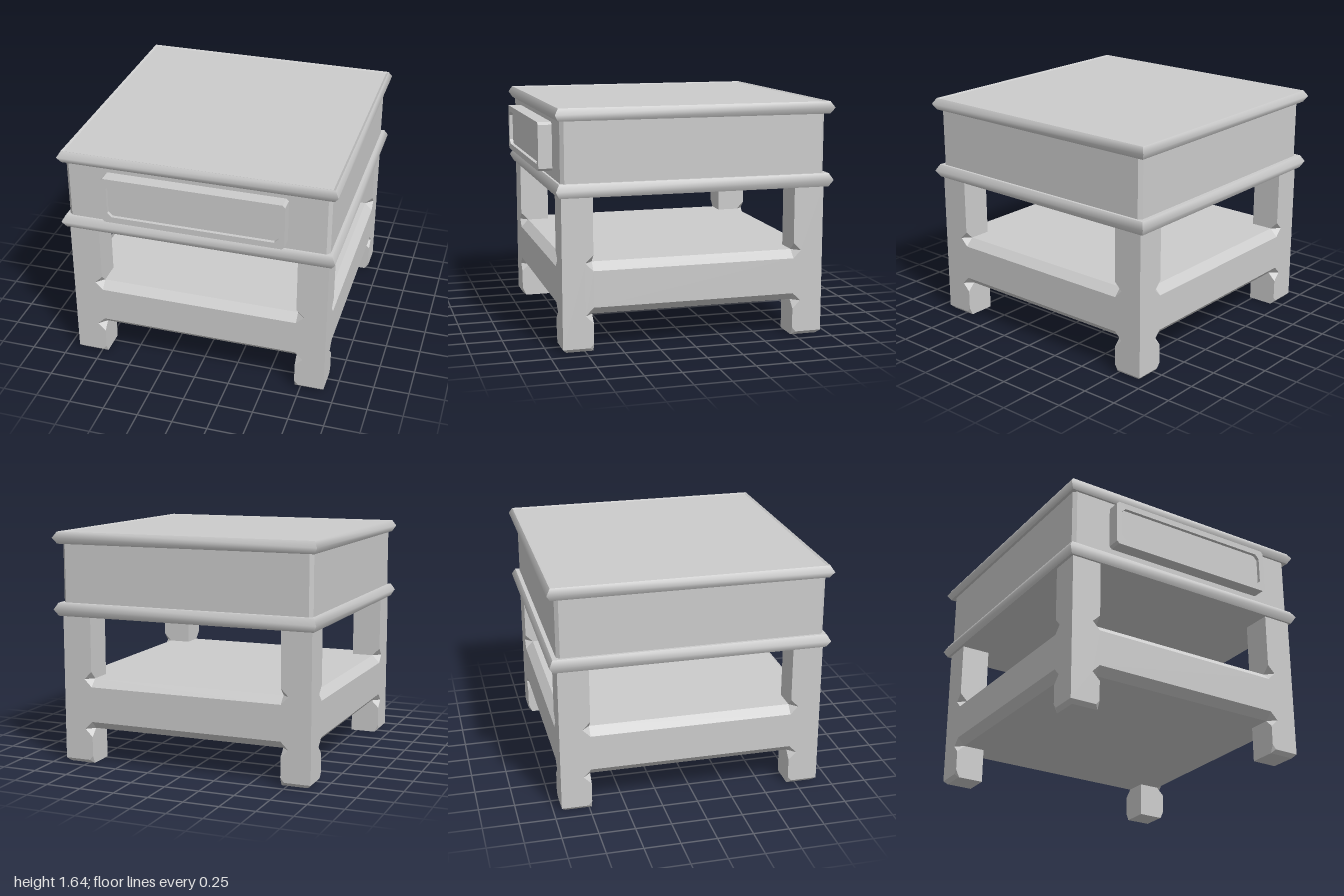
import * as THREE from 'three';
import { toCreasedNormals } from 'three/addons/utils/BufferGeometryUtils.js';

const material = new THREE.MeshStandardMaterial({ color: 0xcccccc, flatShading: true });
const smoothMaterial = new THREE.MeshStandardMaterial({ color: 0xcccccc });

// Body footprint (half sizes and centre) and shared dimensions
const HX = 0.92, HZ = 0.925, CZ = -0.02;
const LEG = 0.213, LEG_TOP = 1.06;
const SHELF_LOW = 0.25, SHELF_HIGH = 0.61, BEVEL = 0.055, FOOT = 0.026;

// Collects flat polygons; each triangle is wound to face its outward direction
class FaceBuilder {
  constructor() { this.positions = []; }
  add(points, out) {
    const p = points.map(a => new THREE.Vector3(...a));
    const o = new THREE.Vector3(...out);
    const a = out.map(Math.abs);
    const drop = a.indexOf(Math.max(...a));
    const axes = [0, 1, 2].filter(i => i !== drop);
    const flat = points.map(q => new THREE.Vector2(q[axes[0]], q[axes[1]]));
    for (const [i, j, k] of THREE.ShapeUtils.triangulateShape(flat, [])) {
      const n = p[j].clone().sub(p[i]).cross(p[k].clone().sub(p[i]));
      const order = n.dot(o) < 0 ? [i, k, j] : [i, j, k];
      for (const t of order) this.positions.push(...points[t]);
    }
  }
  build() {
    const g = new THREE.BufferGeometry();
    g.setAttribute('position', new THREE.Float32BufferAttribute(this.positions, 3));
    g.computeVertexNormals();
    return g;
  }
}

function chamferRect(hx, hy, c) {
  const s = new THREE.Shape();
  const pts = [];
  for (const [sx, sy] of [[1, 1], [-1, 1], [-1, -1], [1, -1]]) {
    const a = [sx * hx, sy * (hy - c)], b = [sx * (hx - c), sy * hy];
    pts.push(...(sx * sy > 0 ? [a, b] : [b, a]));
  }
  return s.setFromPoints(pts.map(q => new THREE.Vector2(...q)));
}

// Rectangular rings stacked along a profile of [inset, y]
function ringBand(profile, hx, hz) {
  const f = new FaceBuilder();
  for (let i = 0; i < profile.length - 1; i++) {
    const [a, y0] = profile[i], [b, y1] = profile[i + 1];
    for (const s of [1, -1]) {
      // outward direction of the band, tilted by its slope
      const h = y1 - y0, d = b - a;
      f.add([[s * (hx - a), y0, hz - a], [s * (hx - a), y0, a - hz],
        [s * (hx - b), y1, b - hz], [s * (hx - b), y1, hz - b]], [s * h, d, 0]);
      f.add([[hx - a, y0, s * (hz - a)], [a - hx, y0, s * (hz - a)],
        [b - hx, y1, s * (hz - b)], [hx - b, y1, s * (hz - b)]], [0, d, s * h]);
    }
  }
  return f.build();
}

function plate(hx, hz, y, up) {
  const g = new THREE.PlaneGeometry(2 * hx, 2 * hz);
  g.rotateX(up ? -Math.PI / 2 : Math.PI / 2);
  return g.translate(0, y, 0);
}

function addMesh(parent, name, geometry, mat = material) {
  const m = new THREE.Mesh(geometry, mat);
  m.name = name;
  parent.add(m);
  return m;
}

// Slab with a pointed edge moulding
function mouldedSlab(name, y0, y1, lip) {
  const g = new THREE.Group();
  g.name = name;
  const hx = 0.965, hz = 0.973, e = 0.026;
  const band = ringBand([[e, y0], [0, (y0 + y1) / 2], [e, y1]], hx, hz);
  addMesh(g, 'edgeMoulding', toCreasedNormals(band, 1.15), smoothMaterial);
  addMesh(g, 'underside', plate(hx - e, hz - e, y0, false));
  if (lip) {
    const f = new FaceBuilder(), w = 0.042, y = y1 - 0.008;
    for (const s of [1, -1]) {
      f.add([[s * (hx - e), y1, hz - e], [s * (hx - e), y1, e - hz],
        [s * (hx - w), y, w - hz], [s * (hx - w), y, hz - w]], [0, 1, 0]);
      f.add([[hx - e, y1, s * (hz - e)], [e - hx, y1, s * (hz - e)],
        [w - hx, y, s * (hz - w)], [hx - w, y, s * (hz - w)]], [0, 1, 0]);
    }
    addMesh(g, 'innerLip', f.build());
    addMesh(g, 'topPanel', plate(hx - w, hz - w, y, true));
  } else {
    addMesh(g, 'upperFace', plate(hx - e, hz - e, y1, true));
  }
  g.position.z = -0.027;
  return g;
}

// Corner leg: u and v run inward from the outer corner, built for one side and mirrored on the diagonal
function legGeometry(sx, sz) {
  const f = new FaceBuilder(), W = LEG, n = BEVEL, c = FOOT;
  const levels = [SHELF_LOW, SHELF_HIGH];
  for (const swap of [false, true]) {
    const face = (pts, out) => {
      const order = ([u, y, v]) => (swap ? [v, y, u] : [u, y, v]);
      f.add(pts.map(p => {
        const [u, y, v] = order(p);
        return [sx * (HX - u), y, sz * (HZ - v)];
      }), (([u, y, v]) => [-sx * u, y, -sz * v])(order(out)));
    };
    const outer = [[0, c, 0], [W - c, c, 0], [W, 2.2 * c, 0]];
    const inner = [[W, 0, W], [W, 0, c], [W, 2.2 * c, 0]];
    for (const y of levels) {
      outer.push([W, y - n, 0], [W - n, y, 0], [W, y + n, 0]);
      inner.push([W, y - n, 0], [W, y, n], [W, y + n, 0]);
      // notch facets where the shelf bevel runs into the leg
      for (const s of [1, -1])
        face([[W - n, y, 0], [W, y + s * n, 0], [W, y, n]], [1, -s, -1.01]);
    }
    outer.push([W, LEG_TOP, 0], [0, LEG_TOP, 0]);
    inner.push([W, LEG_TOP, 0], [W, LEG_TOP, W]);
    face(outer, [0, 0, -1]);
    face(inner, [1, 0, 0]);
    // foot bevel and its clipped inner corner
    face([[0, c, 0], [W - c, c, 0], [W, 0, c], [c, 0, c]], [0, -1, -1.01]);
    face([[W - c, c, 0], [W, 2.2 * c, 0], [W, 0, c]], [1, -0.5, -1.01]);
    if (!swap) face([[c, 0, c], [W, 0, c], [W, 0, W], [c, 0, W]], [0, -1, 0]);
  }
  return f.build();
}

// Shelf: bevelled rails between the legs with flat panels above and below
function shelfGeometry() {
  const f = new FaceBuilder(), b = BEVEL, x = HX - LEG, z = HZ - LEG;
  const profile = [[b, SHELF_LOW], [0, SHELF_LOW + b], [0, SHELF_HIGH - b], [b, SHELF_HIGH]];
  for (let i = 0; i < 3; i++) {
    const [d0, y0] = profile[i], [d1, y1] = profile[i + 1];
    for (const s of [1, -1]) {
      const up = (i - 1) * 0.9;
      f.add([[-x, y0, s * (HZ - d0)], [x, y0, s * (HZ - d0)],
        [x, y1, s * (HZ - d1)], [-x, y1, s * (HZ - d1)]], [0, up, s]);
      f.add([[s * (HX - d0), y0, -z], [s * (HX - d0), y0, z],
        [s * (HX - d1), y1, z], [s * (HX - d1), y1, -z]], [s, up, 0]);
    }
  }
  return f.build();
}

export function createModel() {
  const model = new THREE.Group();
  model.name = 'sideTable';

  model.add(mouldedSlab('tableTop', 1.56, 1.645, true));
  model.add(mouldedSlab('lowerMoulding', 1.055, 1.148, false));

  // Drawer case with chamfered vertical corners
  const body = new THREE.ExtrudeGeometry(chamferRect(HX, HZ, 0.024), { depth: 0.414, bevelEnabled: false });
  body.rotateX(-Math.PI / 2).translate(0, 1.147, CZ);
  addMesh(model, 'drawerCase', body);

  // Drawer front: frame around a recessed panel
  const drawer = new THREE.Group();
  drawer.name = 'drawerFront';
  const frame = chamferRect(0.635, 0.165, 0.017);
  frame.holes.push(chamferRect(0.595, 0.123, 0.03));
  addMesh(drawer, 'drawerFrame', new THREE.ExtrudeGeometry(frame, { depth: 0.1, bevelEnabled: false }));
  const panel = addMesh(drawer, 'drawerPanel', new THREE.PlaneGeometry(1.2, 0.256));
  panel.position.z = 0.075;
  drawer.position.set(0, 1.36, 0.9);
  model.add(drawer);

  // Legs
  for (const sx of [1, -1]) for (const sz of [1, -1]) {
    const name = (sz > 0 ? 'front' : 'back') + (sx > 0 ? 'Left' : 'Right') + 'Leg';
    addMesh(model, name, legGeometry(sx, sz)).position.z = CZ;
  }

  // Shelf
  const shelf = new THREE.Group();
  shelf.name = 'shelf';
  addMesh(shelf, 'shelfRails', shelfGeometry());
  addMesh(shelf, 'shelfTop', plate(HX - BEVEL, HZ - BEVEL, SHELF_HIGH, true));
  addMesh(shelf, 'shelfUnderside', plate(HX - BEVEL, HZ - BEVEL, SHELF_LOW, false));
  shelf.position.z = CZ;
  model.add(shelf);

  return model;
}
